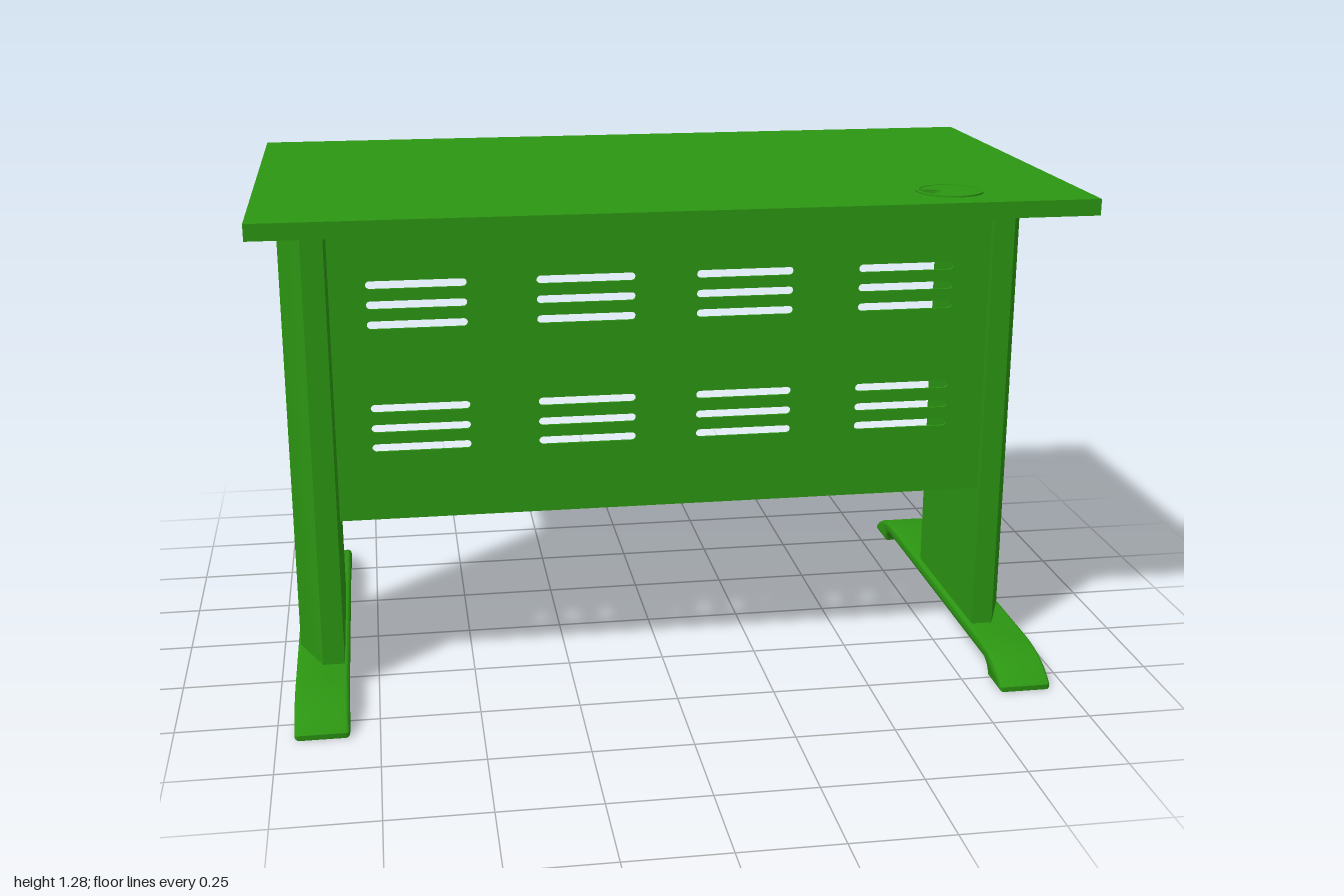
import * as THREE from 'three';
import { toCreasedNormals } from 'three/addons/utils/BufferGeometryUtils.js';

const green = new THREE.MeshStandardMaterial({ color: 0x2c9612 });

function add(parent, name, geometry) {
  const mesh = new THREE.Mesh(geometry, green);
  mesh.name = name;
  parent.add(mesh);
  return mesh;
}

function box(parent, name, w, h, d, x, y, z) {
  add(parent, name, new THREE.BoxGeometry(w, h, d)).position.set(x, y, z);
}

// Extrude a side profile drawn as (z, y), centred across x = 0
function sideExtrude(shape, width, bevel = 0) {
  const depth = width - 2 * bevel;
  const g = new THREE.ExtrudeGeometry(shape, {
    depth, curveSegments: 10, bevelEnabled: bevel > 0,
    bevelSize: bevel, bevelThickness: bevel, bevelOffset: -bevel, bevelSegments: 4,
  });
  g.translate(0, 0, -depth / 2).rotateY(-Math.PI / 2);
  return toCreasedNormals(g, 0.6);
}

// Extrude a plan drawn as (x, -z) upwards from y = bottom
function planExtrude(shape, height, bottom) {
  const g = new THREE.ExtrudeGeometry(shape, { depth: height, bevelEnabled: false, curveSegments: 32 });
  g.rotateX(-Math.PI / 2).translate(0, bottom, 0);
  return toCreasedNormals(g, 0.6);
}

function rectangle(x0, y0, x1, y1) {
  return new THREE.Shape([[x0, y0], [x1, y0], [x1, y1], [x0, y1]].map(p => new THREE.Vector2(...p)));
}

function circle(x, y, r) {
  return new THREE.Path().absarc(x, y, r, 0, Math.PI * 2, true);
}

function slot(x, y, length, height) {
  const r = height / 2, a = length / 2 - r;
  const p = new THREE.Path();
  p.absarc(x + a, y, r, -Math.PI / 2, Math.PI / 2, false);
  p.absarc(x - a, y, r, Math.PI / 2, Math.PI * 1.5, false);
  p.closePath();
  return p;
}

// Arched foot with a pad at each end
function footShape() {
  const s = new THREE.Shape();
  s.moveTo(-0.49, 0);
  s.bezierCurveTo(-0.48, 0.025, -0.465, 0.035, -0.44, 0.035);
  s.lineTo(0.44, 0.035);
  s.bezierCurveTo(0.465, 0.035, 0.48, 0.025, 0.49, 0);
  s.lineTo(0.59, 0);
  s.lineTo(0.592, 0.014);
  s.bezierCurveTo(0.56, 0.045, 0.5, 0.07, 0.4, 0.07);
  s.lineTo(-0.4, 0.07);
  s.bezierCurveTo(-0.5, 0.07, -0.56, 0.045, -0.592, 0.014);
  s.lineTo(-0.59, 0);
  s.closePath();
  return s;
}

// Support rail below the top, with rounded lower ends
function railShape() {
  const s = new THREE.Shape();
  s.moveTo(-0.4, 1.205);
  s.lineTo(0.4, 1.205);
  s.quadraticCurveTo(0.46, 1.207, 0.485, 1.235);
  s.lineTo(-0.47, 1.235);
  s.quadraticCurveTo(-0.45, 1.207, -0.4, 1.205);
  return s;
}

// Leg column: flat inside, faceted outside
function columnShape(side) {
  const plan = [[0.835, 0.315], [0.89, 0.315], [0.95, 0.18], [0.95, -0.02], [0.89, -0.16], [0.835, -0.16]];
  return new THREE.Shape(plan.map(([x, z]) => new THREE.Vector2(side * x, -z)));
}

export function createModel() {
  const desk = new THREE.Group();
  desk.name = 'desk';
  const gx = 0.672, gz = 0.44;

  // Top with cable hole
  const top = rectangle(-1, -0.59, 1, 0.578);
  top.holes.push(circle(gx, -gz, 0.074));
  add(desk, 'desktop', planExtrude(top, 0.04, 1.235));

  // Cable grommet: rim and cap with a cut-out on one side
  const grommet = new THREE.Group();
  grommet.name = 'cableGrommet';
  desk.add(grommet);
  const rim = new THREE.Shape().absarc(gx, -gz, 0.082, 0, Math.PI * 2, false);
  rim.holes.push(circle(gx, -gz, 0.072));
  add(grommet, 'grommetRim', planExtrude(rim, 0.005, 1.274));
  const cap = new THREE.Shape();
  cap.absarc(gx, -gz, 0.071, Math.PI * 1.21, Math.PI * 2.9, false);
  cap.lineTo(gx - 0.032, -gz + 0.014);
  cap.lineTo(gx - 0.022, -gz - 0.012);
  cap.closePath();
  add(grommet, 'grommetCap', planExtrude(cap, 0.012, 1.266));

  // Legs
  for (const side of [1, -1]) {
    const leg = new THREE.Group();
    leg.name = side > 0 ? 'leftLeg' : 'rightLeg';
    desk.add(leg);
    add(leg, 'foot', sideExtrude(footShape(), 0.134, 0.01)).position.x = side * 0.89;
    add(leg, 'column', planExtrude(columnShape(side), 1.145, 0.065));
    add(leg, 'topRail', sideExtrude(railShape(), 0.122)).position.x = side * 0.896;
  }

  // Front panel with ventilation slots and folded edges
  const panel = new THREE.Group();
  panel.name = 'modestyPanel';
  desk.add(panel);
  const sheet = rectangle(-0.828, 0.46, 0.828, 1.235);
  for (const x of [-0.617, -0.202, 0.197, 0.61])
    for (const y of [1.062, 1.012, 0.962, 0.75, 0.698, 0.648])
      sheet.holes.push(slot(x, y, 0.245, 0.02));
  const sheetGeometry = new THREE.ExtrudeGeometry(sheet, { depth: 0.006, bevelEnabled: false, curveSegments: 6 });
  sheetGeometry.translate(0, 0, 0.312);
  add(panel, 'panelSheet', sheetGeometry);
  for (const side of [1, -1])
    box(panel, 'sideFlange', 0.006, 0.775, 0.03, side * 0.825, 0.8475, 0.299);
  box(panel, 'bottomFlange', 1.65, 0.006, 0.02, 0, 0.463, 0.304);

  return desk;
}
